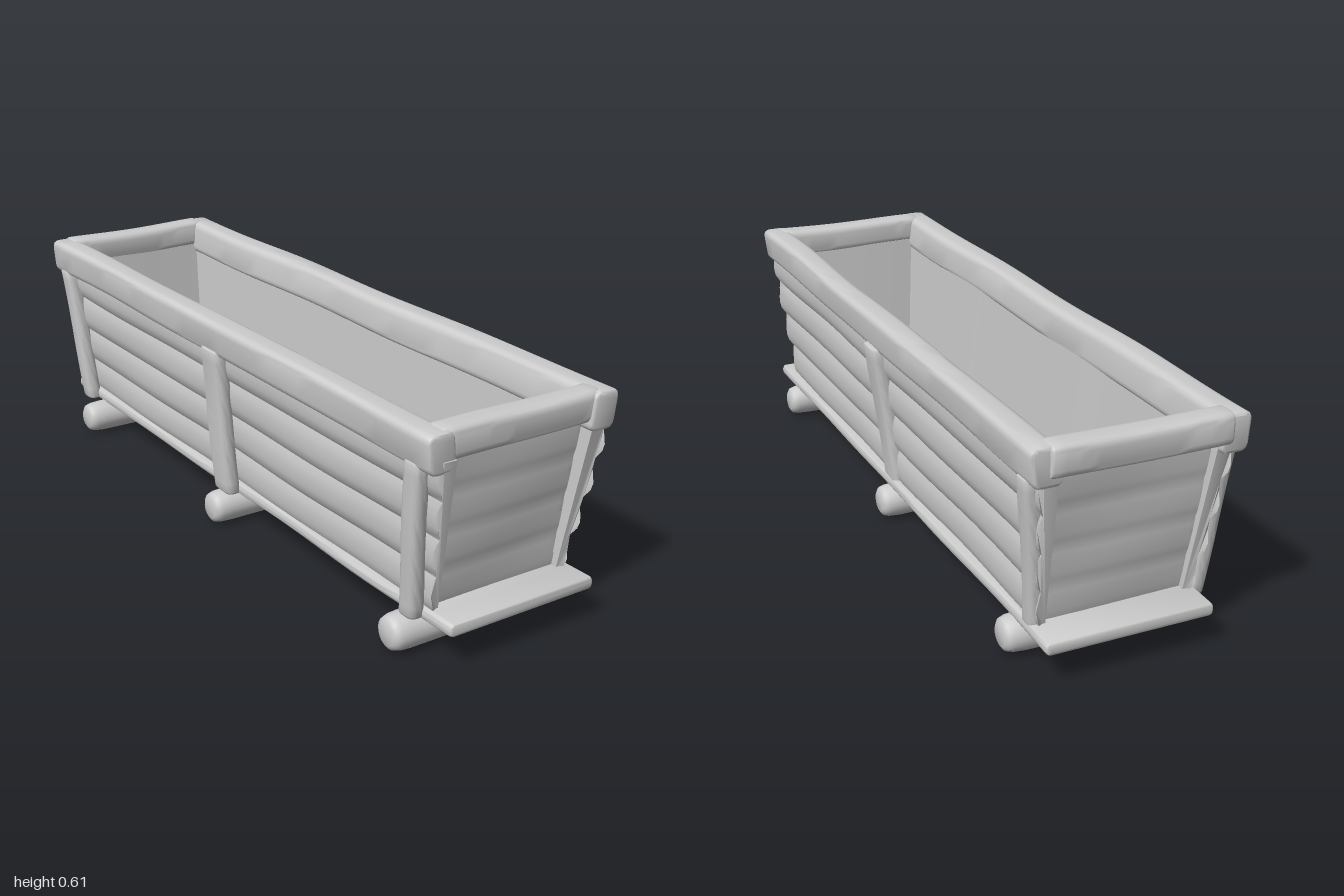
import * as THREE from 'three';
import { toCreasedNormals } from 'three/addons/utils/BufferGeometryUtils.js';

const material = new THREE.MeshStandardMaterial({ color: 0xcccccc, side: THREE.DoubleSide });
const { lerp } = THREE.MathUtils;
const BOTTOM = 0.11, TOP = 0.54;

// moves every vertex by a rule
function deform(geo, rule) {
  const p = geo.attributes.position, v = new THREE.Vector3();
  for (let i = 0; i < p.count; i++) {
    rule(v.fromBufferAttribute(p, i));
    p.setXYZ(i, v.x, v.y, v.z);
  }
  return geo;
}

// hand-hewn unevenness
function hew(v, seed, amount) {
  const { x, y, z } = v;
  v.x += amount * Math.sin(z * 9 + y * 13 + seed);
  v.y += amount * Math.sin(z * 7 + x * 12 + seed * 2.3);
  v.z += amount * Math.sin(x * 11 + y * 10 + seed * 1.7);
}

function addPart(group, name, geo) {
  const mesh = new THREE.Mesh(toCreasedNormals(geo, 0.8), material);
  mesh.name = name;
  group.add(mesh);
}

// rounded timber running along z, centred on the origin
function timber(w, h, length, r = 0.015, steps = 16) {
  const s = new THREE.Shape(), b = 0.008;
  const x = w / 2 - b, y = h / 2 - b;
  s.moveTo(-x + r, -y);
  s.lineTo(x - r, -y).quadraticCurveTo(x, -y, x, -y + r);
  s.lineTo(x, y - r).quadraticCurveTo(x, y, x - r, y);
  s.lineTo(-x + r, y).quadraticCurveTo(-x, y, -x, y - r);
  s.lineTo(-x, -y + r).quadraticCurveTo(-x, -y, -x + r, -y);
  return new THREE.ExtrudeGeometry(s, {
    depth: length - 2 * b, steps, curveSegments: 4,
    bevelThickness: b, bevelSize: b, bevelSegments: 2,
  }).translate(0, 0, -length / 2 + b);
}

// leaning plank wall facing +x, running along z; pairs are [at the foot, at the head]
function plankWall({ outer, inner, half, bulge, seed }) {
  const rows = 4, sub = 6, s = new THREE.Shape();
  s.moveTo(inner[0], BOTTOM);
  for (let i = 0; i <= rows * sub; i++) {
    const t = i / (rows * sub), f = (i % sub) / sub;
    const swell = bulge * Math.sqrt(Math.sin(Math.PI * f)) * (1 - 0.4 * f);
    s.lineTo(lerp(outer[0], outer[1], t) + swell - bulge * 0.4, lerp(BOTTOM, TOP, t));
  }
  s.lineTo(inner[1], TOP);
  const geo = new THREE.ExtrudeGeometry(s, { depth: 2, steps: 24, bevelEnabled: false });
  return deform(geo.translate(0, 0, -1), v => {
    const t = (v.y - BOTTOM) / (TOP - BOTTOM);
    const ragged = 0.008 * Math.sin(t * rows * Math.PI * 2);
    v.z *= lerp(half[0], half[1], t) + ragged;
    hew(v, seed, 0.002);
  });
}

// leaning post from foot [x, z] to head [x, z]
function post(w, d, foot, head, seed) {
  const y0 = 0.095, y1 = 0.525;
  const geo = timber(w, d, y1 - y0, 0.012).rotateX(-Math.PI / 2).translate(0, (y0 + y1) / 2, 0);
  return deform(geo, v => {
    const t = (v.y - y0) / (y1 - y0);
    v.x += lerp(foot[0], head[0], t);
    v.z += lerp(foot[1], head[1], t);
    hew(v, seed, 0.002);
  });
}

export function createModel() {
  const model = new THREE.Group();
  model.name = 'plankTrough';

  // round logs underneath
  const r = 0.048;
  const logProfile = [[0, -0.274], [0.03, -0.273], [0.041, -0.266], [0.046, -0.25], [r, -0.22], [r, 0],
    [r, 0.22], [0.046, 0.25], [0.041, 0.266], [0.03, 0.273], [0, 0.274]].map(p => new THREE.Vector2(...p));
  [0.83, 0, -0.8].forEach((z, i) => {
    const geo = new THREE.LatheGeometry(logProfile, 20).rotateZ(Math.PI / 2).translate(-0.011, 0.051, z);
    addPart(model, 'footLog', deform(geo, v => hew(v, i, 0.002)));
  });

  // base slab
  const slab = timber(0.45, 0.034, 1.97, 0.006, 30).translate(0.01, 0.108, 0);
  addPart(model, 'baseSlab', deform(slab, v => hew(v, 4, 0.002)));

  // long plank walls, their ragged ends standing proud of the end walls
  const side = { half: [0.895, 0.972], bulge: 0.015 };
  addPart(model, 'leftWall', plankWall({ ...side, outer: [0.21, 0.254], inner: [0.194, 0.208], seed: 1 }));
  addPart(model, 'rightWall',
    plankWall({ ...side, outer: [0.196, 0.25], inner: [0.18, 0.208], seed: 2 }).rotateY(Math.PI));

  // end walls, nearly flat
  const end = { half: [0.186, 0.222], bulge: 0.004 };
  addPart(model, 'frontWall',
    plankWall({ ...end, outer: [0.875, 0.93], inner: [0.86, 0.895], seed: 3 }).rotateY(-Math.PI / 2));
  addPart(model, 'backWall',
    plankWall({ ...end, outer: [0.88, 0.945], inner: [0.865, 0.915], seed: 5 }).rotateY(Math.PI / 2));

  // upright battens: middle of each side, back corners and one front corner, set in from the plank ends
  addPart(model, 'middlePost', post(0.045, 0.088, [0.203, 0.005], [0.262, 0.005], 1));
  addPart(model, 'middlePost', post(0.045, 0.088, [-0.227, 0.005], [-0.264, 0.005], 2));
  addPart(model, 'cornerPost', post(0.045, 0.06, [0.207, -0.865], [0.255, -0.92], 3));
  addPart(model, 'cornerPost', post(0.045, 0.06, [-0.222, -0.865], [-0.26, -0.92], 4));
  addPart(model, 'cornerPost', post(0.045, 0.06, [-0.225, 0.845], [-0.262, 0.9], 5));

  // top rim
  for (const s of [1, -1]) {
    const sideRail = timber(0.076, 0.1, 1.95, 0.014, 30);
    sideRail.translate(s === 1 ? 0.238 : -0.244, 0.56, -0.003);
    addPart(model, 'sideRail', deform(sideRail, v => {
      v.x += s * 0.1 * (v.y - 0.56);
      hew(v, 2 + s, 0.002);
    }));
    const endRail = timber(0.074, 0.082, 0.47, 0.014).rotateY(Math.PI / 2);
    endRail.translate(0, 0.57, s === 1 ? 0.928 : -0.95);
    addPart(model, 'endRail', deform(endRail, v => hew(v, 6 + s, 0.002)));
  }
  return model;
}
